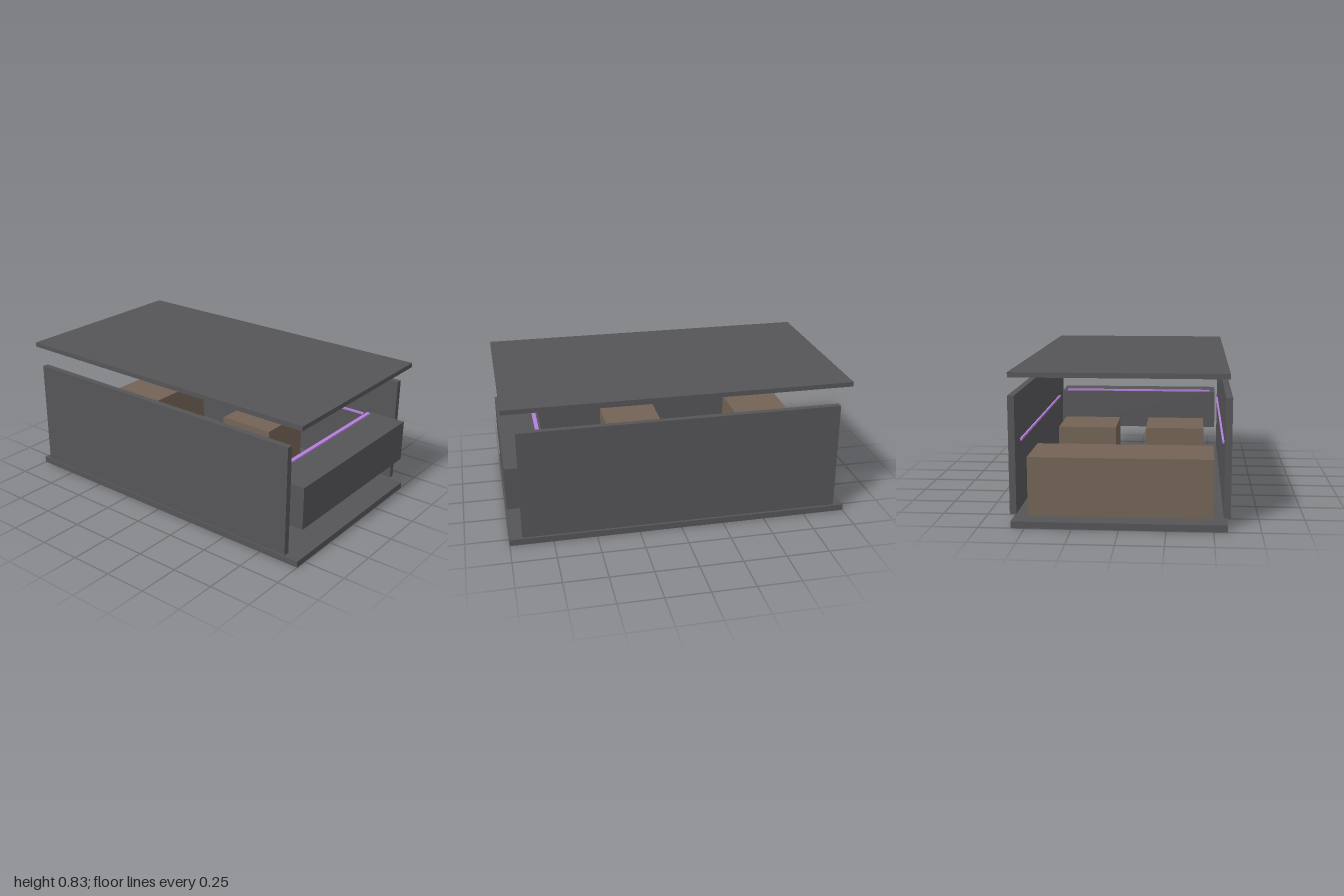
import * as THREE from 'three';

export function createModel() {
  const model = new THREE.Group();
  model.name = 'explodedCabin';

  const material = (name, color) => {
    const m = new THREE.MeshStandardMaterial({ color });
    m.name = name;
    return m;
  };
  const panelGrey = material('panelGrey', 0x555558);
  const seatBrown = material('seatBrown', 0x736355);
  const lightPurple = material('lightPurple', 0xb57edc);

  // Box given by its extents along each axis
  const box = (name, mat, [x0, x1], [y0, y1], [z0, z1]) => {
    const mesh = new THREE.Mesh(new THREE.BoxGeometry(x1 - x0, y1 - y0, z1 - z0), mat);
    mesh.position.set((x0 + x1) / 2, (y0 + y1) / 2, (z0 + z1) / 2);
    mesh.name = name;
    model.add(mesh);
  };

  // Floor and floating roof
  box('floor', panelGrey, [-0.573, 0.573], [0, 0.037], [-1, 1]);
  box('roof', panelGrey, [-0.573, 0.573], [0.806, 0.833], [-1, 1]);

  // Dashboard
  box('dashboard', panelGrey, [-0.535, 0.535], [0.217, 0.467], [0.75, 1]);

  // Rear bench
  box('rearBench', seatBrown, [-0.5, 0.5], [0.037, 0.362], [-0.89, -0.535]);

  // Light strips and roof light panel
  box('roofLight', lightPurple, [-0.32, 0.32], [0.792, 0.806], [-0.57, 0.43]);
  box('dashboardLight', lightPurple, [-0.5, 0.5], [0.467, 0.477], [0.765, 0.788]);
  box('floorLight', lightPurple, [-0.465, 0.465], [0.037, 0.046], [0.632, 0.66]);

  // Walls, wall lights and front seats, mirrored
  for (const [side, s] of [['left', 1], ['right', -1]]) {
    const span = (a, b) => (s > 0 ? [a, b] : [-b, -a]);
    box(side + 'Wall', panelGrey, span(0.554, 0.59), [0.056, 0.699], [-0.928, 0.928]);
    box(side + 'WallLight', lightPurple, span(0.543, 0.554), [0.43, 0.442], [-0.785, 0.715]);
    box(side + 'FrontSeat', seatBrown, span(0.093, 0.45), [0.037, 0.361], [-0.033, 0.322]);
  }

  return model;
}
